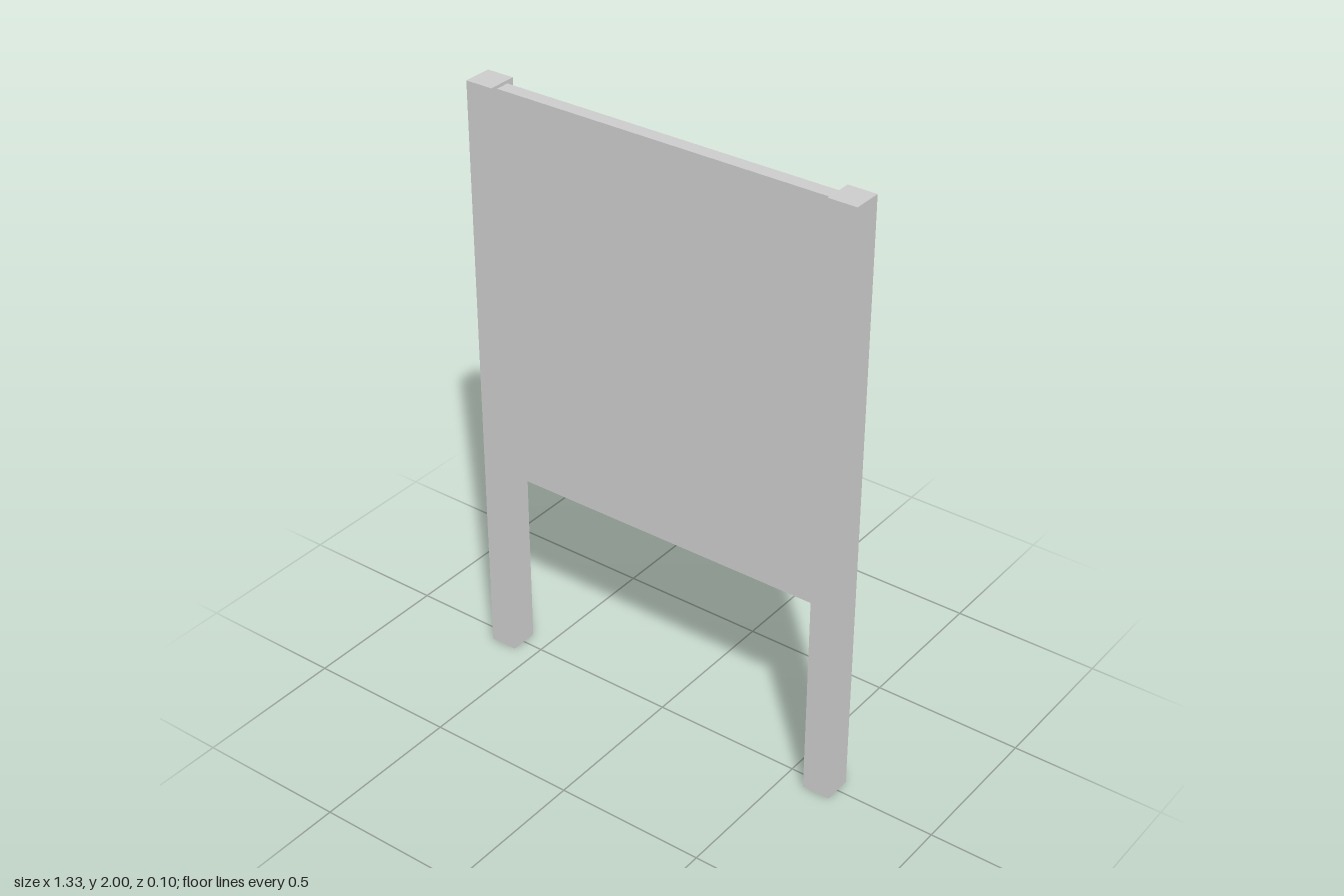
import * as THREE from 'three';

const POST_WIDTH = 0.093, POST_DEPTH = 0.096, POST_HEIGHT = 2;
const POST_X = 0.619; // post centre line
const PANEL_BOTTOM = 0.672, PANEL_TOP = 1.99, PANEL_DEPTH = 0.046;

export function createModel() {
  const group = new THREE.Group();
  group.name = 'signBoard';
  const material = new THREE.MeshStandardMaterial({ color: 0xcccccc, flatShading: true });

  const addBox = (name, w, h, d, x, y) => {
    const mesh = new THREE.Mesh(new THREE.BoxGeometry(w, h, d), material);
    mesh.name = name;
    mesh.position.set(x, y, 0);
    group.add(mesh);
  };

  // Two square posts standing on the ground
  for (const [name, side] of [['leftPost', 1], ['rightPost', -1]]) {
    addBox(name, POST_WIDTH, POST_HEIGHT, POST_DEPTH, side * POST_X, POST_HEIGHT / 2);
  }

  // Thin panel between the inner faces of the posts, just below their tops
  addBox('panel', 2 * POST_X - POST_WIDTH, PANEL_TOP - PANEL_BOTTOM, PANEL_DEPTH,
    0, (PANEL_TOP + PANEL_BOTTOM) / 2);

  return group;
}
